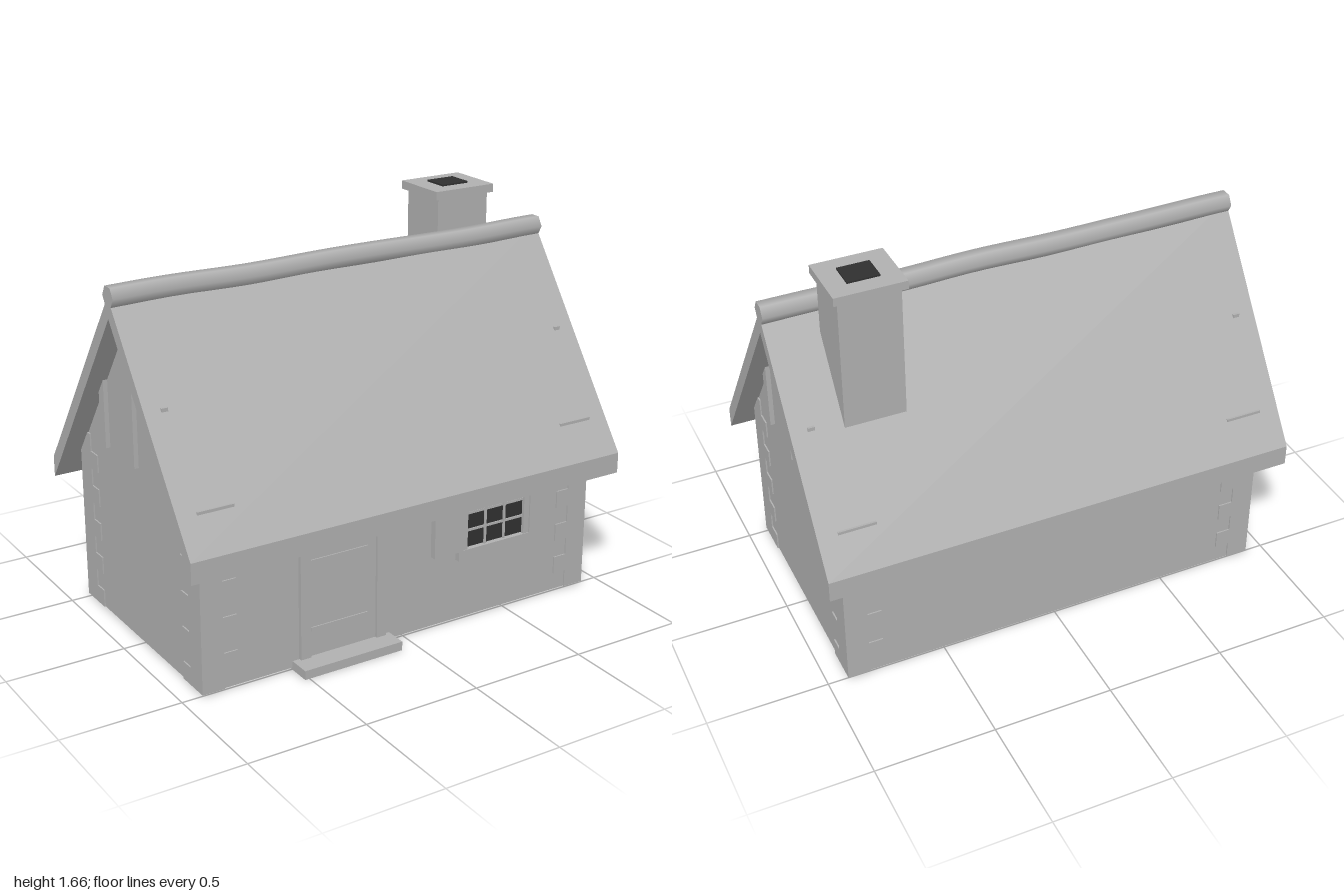
import * as THREE from 'three';

export function createModel() {
  const house = new THREE.Group();
  house.name = 'cottage';
  const stone = new THREE.MeshStandardMaterial({ color: 0xb0b0b0, side: THREE.DoubleSide });
  stone.name = 'light grey';
  const dark = new THREE.MeshStandardMaterial({ color: 0x303030 });
  dark.name = 'dark grey';

  const add = (name, geometry, material = stone) => {
    const mesh = new THREE.Mesh(geometry, material);
    mesh.name = name;
    house.add(mesh);
    return mesh;
  };
  // Box given by its limits on each axis
  const box = (name, x0, x1, y0, y1, z0, z1, material = stone) => {
    const mesh = add(name, new THREE.BoxGeometry(x1 - x0, y1 - y0, z1 - z0), material);
    mesh.position.set((x0 + x1) / 2, (y0 + y1) / 2, (z0 + z1) / 2);
    return mesh;
  };
  const outline = (points) => new THREE.Shape(points.map(([x, y]) => new THREE.Vector2(x, y)));

  // Thin walls, open underneath
  const W = 0.912, D = 0.505;
  const gable = outline([[-D, 0.01], [D, 0.01], [D, 0.74], [0, 1.43], [-D, 0.74]]);
  for (const s of [1, -1]) {
    const side = add('gableWall', new THREE.ShapeGeometry(gable));
    side.rotation.y = s * Math.PI / 2;
    side.position.x = s * W;
    const long = add(s > 0 ? 'frontWall' : 'backWall', new THREE.PlaneGeometry(2 * W, 0.73));
    long.rotation.y = s > 0 ? 0 : Math.PI;
    long.position.set(0, 0.375, s * D);
  }

  // Corner stones, long and short sides alternating
  const course = 0.0753;
  for (const sx of [1, -1]) for (const sz of [1, -1]) for (let i = 0; i < 10; i++) {
    const lx = i % 2 ? 0.155 : 0.095, lz = i % 2 ? 0.095 : 0.155;
    const stoneBlock = add('cornerStone', new THREE.BoxGeometry(lx, course, lz));
    stoneBlock.position.set(sx * (0.918 - lx / 2), 0.01 + (i + 0.5) * course, sz * (0.511 - lz / 2));
  }

  // Gable timbers
  for (const s of [1, -1]) {
    for (const [z, top] of [[-0.254, 1.092], [0, 1.4], [0.254, 1.092]]) {
      const x = s * 0.917;
      box('gableTimber', x - 0.014, x + 0.014, 0.765, top, z - 0.022, z + 0.022);
    }
  }

  // Roof
  const roofShape = outline([[0.607, 0.53], [0.607, 0.618], [0, 1.46], [-0.607, 0.618], [-0.607, 0.53], [0, 1.373]]);
  const roof = new THREE.ExtrudeGeometry(roofShape, { depth: 2, bevelEnabled: false });
  roof.translate(0, 0, -1).rotateY(Math.PI / 2);
  add('roof', roof);

  // Ridge roll, slightly uneven
  const ridge = new THREE.CylinderGeometry(0.045, 0.045, 2, 6, 24);
  ridge.rotateZ(Math.PI / 2).translate(0, 1.458, 0);
  const p = ridge.attributes.position;
  for (let i = 0; i < p.count; i++) {
    const x = p.getX(i);
    p.setY(i, p.getY(i) + 0.003 * Math.sin(x * 7 + 1));
    p.setZ(i, p.getZ(i) + 0.002 * Math.sin(x * 11));
  }
  add('ridge', ridge);

  // Chimney
  box('chimneyStack', 0.54, 0.79, 1.0, 1.615, -0.288, -0.07);
  box('chimneyCap', 0.52, 0.81, 1.615, 1.65, -0.308, -0.055);
  box('flue', 0.6, 0.73, 1.65, 1.657, -0.236, -0.126, dark);

  // Door with frame, hinges and step
  box('door', -0.445, -0.14, 0.04, 0.6, 0.49, 0.511);
  box('doorPost', -0.49, -0.445, 0.04, 0.6, 0.485, 0.522);
  box('doorPost', -0.14, -0.095, 0.04, 0.6, 0.485, 0.522);
  box('doorLintel', -0.49, -0.095, 0.6, 0.645, 0.485, 0.522);
  for (const y of [0.157, 0.445]) box('doorHinge', -0.44, -0.18, y - 0.008, y + 0.008, 0.508, 0.516);
  box('doorStep', -0.52, -0.07, 0, 0.038, 0.49, 0.6);

  // Window
  box('windowPanes', 0.293, 0.578, 0.325, 0.58, 0.495, 0.513, dark);
  for (const x of [0.28, 0.591]) box('windowFrameSide', x - 0.0135, x + 0.0135, 0.32, 0.605, 0.49, 0.527);
  box('windowFrameTop', 0.267, 0.604, 0.578, 0.605, 0.49, 0.527);
  for (const x of [0.388, 0.483]) box('windowBar', x - 0.005, x + 0.005, 0.32, 0.58, 0.508, 0.519);
  for (const y of [0.4, 0.475]) box('windowBar', 0.293, 0.578, y - 0.005, y + 0.005, 0.508, 0.518);
  box('windowSill', 0.25, 0.615, 0.278, 0.322, 0.485, 0.53);
  for (const [x0, x1] of [[0.128, 0.267], [0.604, 0.738]]) box('shutter', x0, x1, 0.32, 0.605, 0.504, 0.533);

  return house;
}
